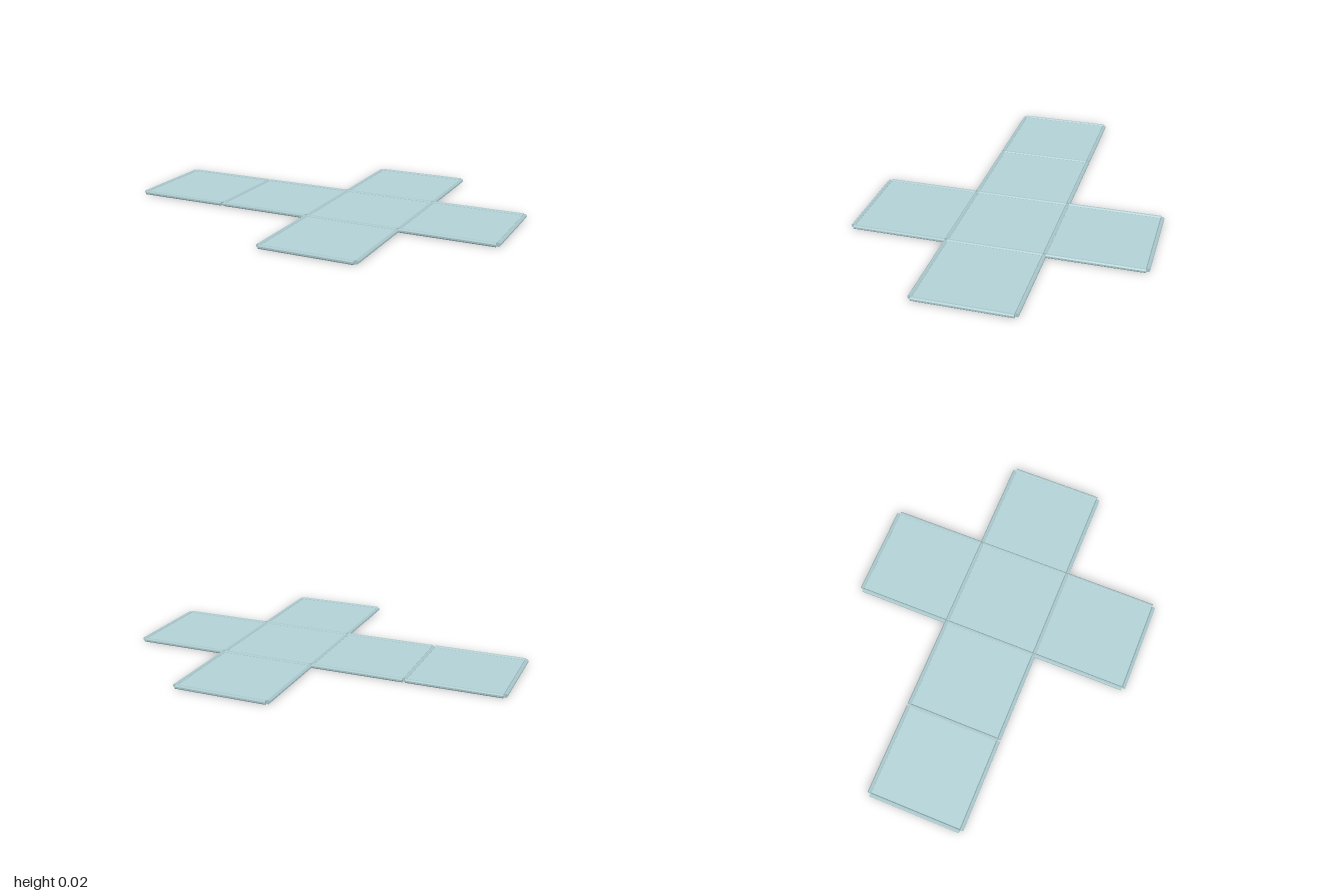
import * as THREE from 'three';

const S = 0.495;            // side of one square of the cube net
const R = 0.0108;           // rod radius across corners
const Y = R * Math.cos(Math.PI / 8);
const GAP = 0.007;          // rods stop short of the corners

export function createModel() {
  const group = new THREE.Group();
  const panelMaterial = new THREE.MeshStandardMaterial({ color: 0xb2d2d6 });
  const rodMaterial = new THREE.MeshStandardMaterial({ color: 0xa8c6ca, flatShading: true });

  // Octagonal rod with flat top, bottom and sides, lying along x
  const rodGeometry = new THREE.CylinderGeometry(R, R, S - 2 * GAP, 8);
  rodGeometry.rotateY(Math.PI / 8).rotateZ(Math.PI / 2);
  const panelGeometry = new THREE.BoxGeometry(S - 0.01, 0.006, S - 0.01);

  const add = (name, geometry, material, x, z, turn = 0) => {
    const mesh = new THREE.Mesh(geometry, material);
    mesh.name = name;
    mesh.position.set(x, Y, z);
    mesh.rotation.y = turn;
    group.add(mesh);
  };

  // Four squares in a row, plus one behind and one in front of the third
  const squares = [[-1.5, 0], [-0.5, 0], [0.5, 0], [1.5, 0], [0.5, -1], [0.5, 1]];
  const placed = new Set();
  for (const [cx, cz] of squares) {
    add('panel', panelGeometry, panelMaterial, cx * S, cz * S);
    // Rods on all four sides; neighbouring squares share one
    for (const [dx, dz] of [[0.5, 0], [-0.5, 0], [0, 0.5], [0, -0.5]]) {
      const x = cx + dx, z = cz + dz, key = `${x},${z}`;
      if (placed.has(key)) continue;
      placed.add(key);
      add('edgeRod', rodGeometry, rodMaterial, x * S, z * S, dx ? Math.PI / 2 : 0);
    }
  }
  return group;
}
